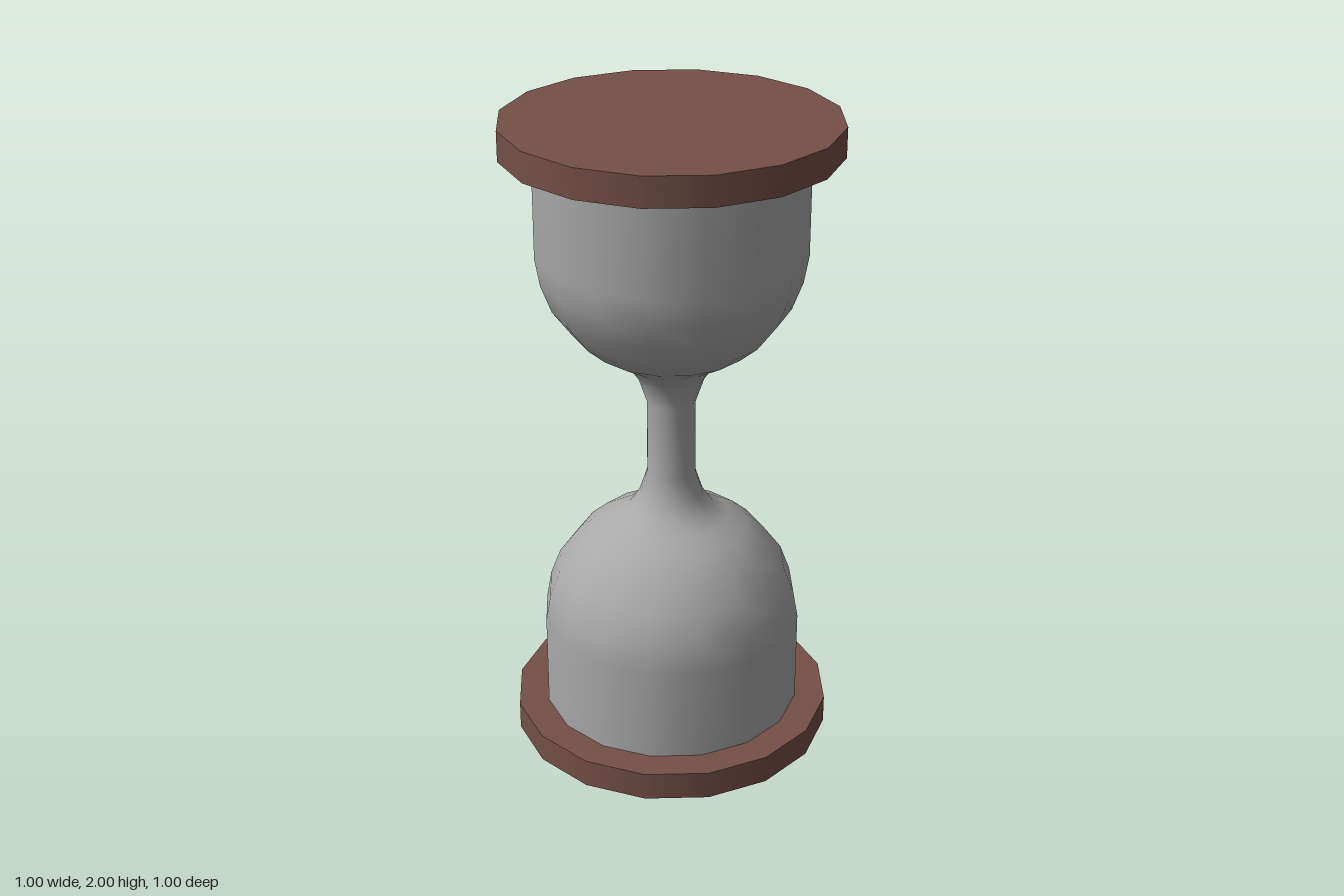
import * as THREE from 'three';

const SIDES = 16;

export function createModel() {
  const model = new THREE.Group();
  model.name = 'hourglass';

  const wood = new THREE.MeshStandardMaterial({ color: 0x754f48 });
  wood.name = 'brown wood';
  const glass = new THREE.MeshStandardMaterial({ color: 0xa8a8a8 });
  glass.name = 'grey glass';

  // Wooden end plates
  const plateHeight = 0.09;
  const plateGeometry = new THREE.CylinderGeometry(0.5, 0.5, plateHeight, SIDES);
  for (const [name, y] of [['bottomPlate', plateHeight / 2], ['topPlate', 2 - plateHeight / 2]]) {
    const plate = new THREE.Mesh(plateGeometry, wood);
    plate.name = name;
    plate.position.y = y;
    model.add(plate);
  }

  // Lower half of the glass: straight wall, domed shoulder, flared neck
  const lower = [
    [0.405, 0.08], [0.405, 0.39], [0.39, 0.475], [0.358, 0.56], [0.295, 0.645],
    [0.24, 0.693], [0.18, 0.728], [0.132, 0.757], [0.1, 0.805], [0.075, 0.88],
  ].map(([r, y]) => new THREE.Vector2(r, y));

  // Mirror it about the middle of the neck for the upper half
  const upper = lower.map((p) => new THREE.Vector2(p.x, 2 - p.y)).reverse();
  const bulbs = new THREE.Mesh(new THREE.LatheGeometry([...lower, ...upper], SIDES), glass);
  bulbs.name = 'glassBulbs';
  model.add(bulbs);

  return model;
}
